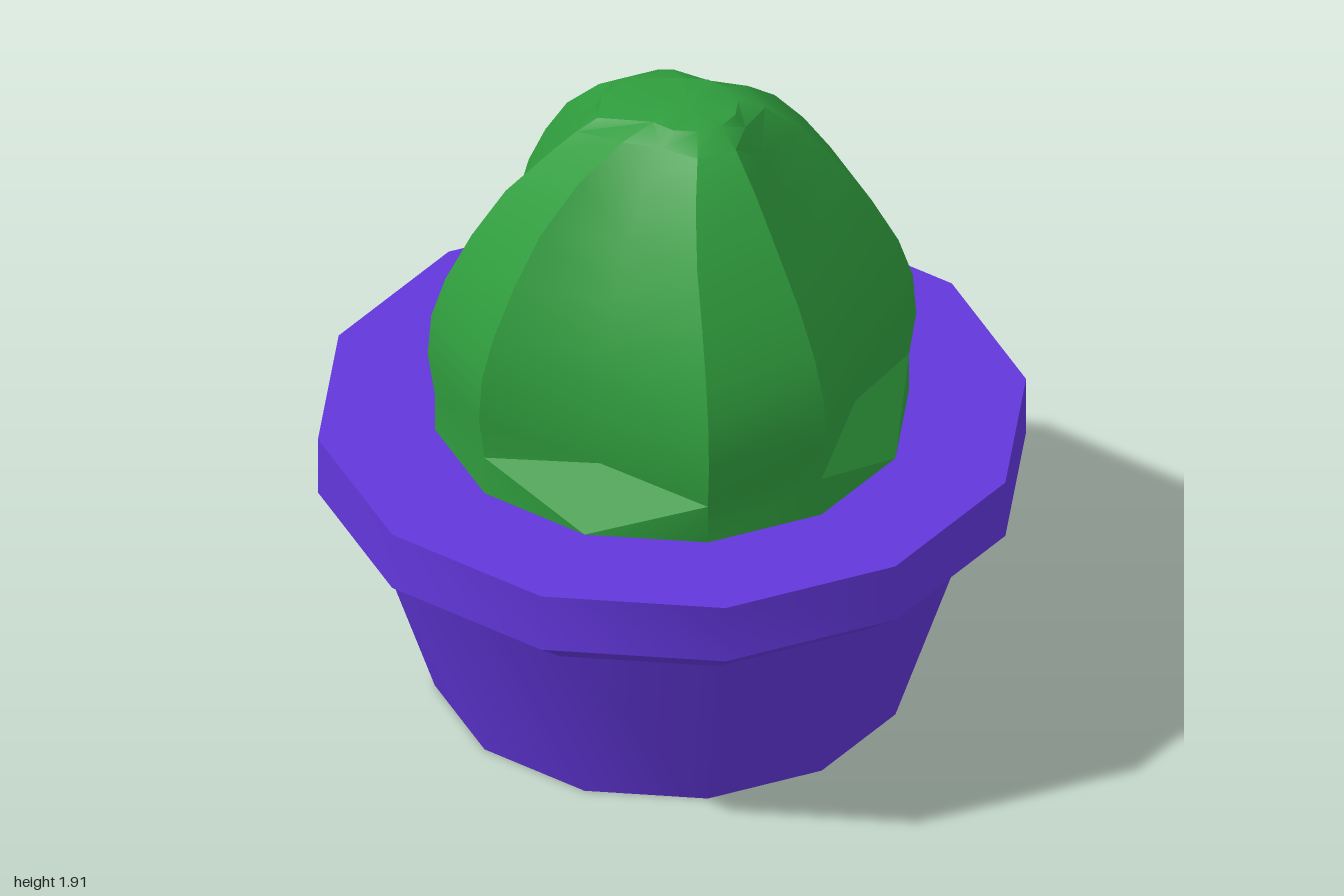
import * as THREE from 'three';
import { toCreasedNormals } from 'three/addons/utils/BufferGeometryUtils.js';

const SIDES = 12;
const TWIST = 0.02; // slight turn of the whole plant
const CREASE = 0.54;

// Closed twelve-sided pot with a flared rim and flat soil-level top
function makePot() {
  const profile = [[0, 0], [0.67, 0], [0.86, 0.575], [1, 0.685], [1, 0.865], [0, 0.865]]
    .map(([r, y]) => new THREE.Vector2(r, y));
  const geometry = toCreasedNormals(new THREE.LatheGeometry(profile, SIDES), CREASE);
  const pot = new THREE.Mesh(geometry, new THREE.MeshStandardMaterial({ color: 0x6337dc }));
  pot.name = 'pot';
  pot.rotation.y = -TWIST;
  return pot;
}

// Cactus rows: height, rib radius, groove radius, sideways lean
const ROWS = [
  [0.865, 0.67, 0.67, 0],
  [0.985, 0.67, 0.55, 0],
  [1.12, 0.69, 0.545, 0],
  [1.25, 0.68, 0.525, 0],
  [1.37, 0.64, 0.49, 0],
  [1.51, 0.566, 0.42, 0],
  [1.65, 0.47, 0.335, 0],
  [1.78, 0.35, 0.25, 0.015],
  [1.87, 0.225, 0.18, 0.04],
  [1.905, 0.135, 0.135, 0.055],
];

// Every third column is a groove; the others are pairs of rib edges
function cactusPoint(row, column) {
  let [y, rib, groove, lean] = ROWS[row];
  const k = column % SIDES;
  const isGroove = k % 3 === 0;
  let r = isGroove ? groove : rib;
  if (isGroove && row === 1) y += 0.045;
  // the groove on the -x side stops lower and further out
  if (k >= 5 && k <= 7 && row >= 8) {
    lean = 0;
    y = row === 8 ? 1.83 : 1.87;
    r = row === 8 ? (isGroove ? 0.23 : 0.27) : 0.21;
  }
  const a = (k / SIDES) * Math.PI * 2 + TWIST;
  return [r * Math.cos(a) + lean, y, r * Math.sin(a)];
}

function makeCactus() {
  const positions = [];
  const triangle = (a, b, c) => positions.push(...a, ...b, ...c);
  const top = ROWS.length - 1;
  for (let k = 0; k < SIDES; k++) {
    for (let j = 0; j < top; j++) {
      const a = cactusPoint(j, k), b = cactusPoint(j + 1, k);
      const c = cactusPoint(j, k + 1), d = cactusPoint(j + 1, k + 1);
      // mirror the diagonals about each groove
      if (k % 3 === 0) {
        triangle(a, b, d);
        triangle(a, d, c);
      } else {
        triangle(a, b, c);
        triangle(b, d, c);
      }
    }
    // crown
    triangle(cactusPoint(top, k), [0.05, 1.915, 0], cactusPoint(top, k + 1));
  }
  const geometry = new THREE.BufferGeometry();
  geometry.setAttribute('position', new THREE.Float32BufferAttribute(positions, 3));
  const cactus = new THREE.Mesh(
    toCreasedNormals(geometry, CREASE),
    new THREE.MeshStandardMaterial({ color: 0x2f9c3d })
  );
  cactus.name = 'cactus';
  return cactus;
}

export function createModel() {
  const model = new THREE.Group();
  model.name = 'pottedCactus';
  model.add(makePot(), makeCactus());
  return model;
}
